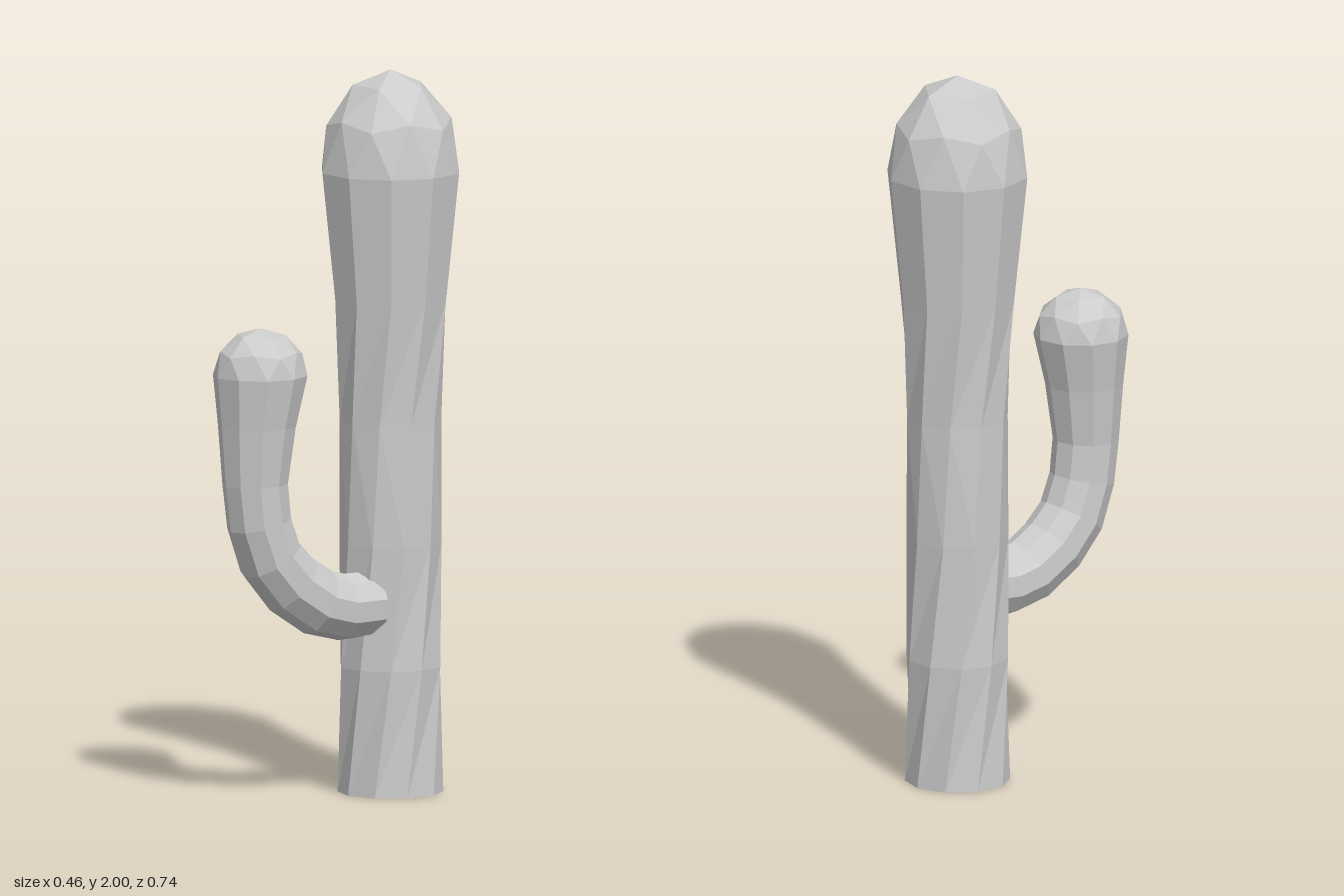
import * as THREE from 'three';

const SIDES = 10;
const rad = THREE.MathUtils.degToRad;
const material = new THREE.MeshStandardMaterial({
  color: 0xcccccc, flatShading: true, side: THREE.DoubleSide,
});

function meshFromTriangles(name, points) {
  const geometry = new THREE.BufferGeometry().setFromPoints(points);
  geometry.computeVertexNormals();
  const mesh = new THREE.Mesh(geometry, material);
  mesh.name = name;
  return mesh;
}

// Open faceted tube through a list of rings of points
function loft(name, rings) {
  const tris = [];
  for (let j = 0; j < rings.length - 1; j++) {
    for (let i = 0; i < SIDES; i++) {
      const n = (i + 1) % SIDES;
      const a = rings[j][i], b = rings[j][n], c = rings[j + 1][i], d = rings[j + 1][n];
      tris.push(a, c, b, b, c, d);
    }
  }
  return meshFromTriangles(name, tris);
}

// Upper half of a subdivided icosahedron: pole, ring of 5, ring of 10, rim of 10
function dome(name, centre, radius, height, turn) {
  const at = (polar, angle) => new THREE.Vector3(
    centre.x + radius * Math.sin(rad(polar)) * Math.cos(rad(angle + turn)),
    centre.y + height * Math.cos(rad(polar)),
    centre.z + radius * Math.sin(rad(polar)) * Math.sin(rad(angle + turn)));
  const pole = at(0, 0);
  const A = (k) => at(31.72, 72 * k);
  const B = (i) => at(i % 2 ? 58.28 : 63.43, 36 * i);
  const E = (i) => at(90, 18 + 36 * i);
  const tris = [];
  for (let i = 1; i <= SIDES; i++) {
    tris.push(E(i - 1), B(i), E(i), E(i), B(i), B(i + 1));
  }
  for (let k = 1; k <= 5; k++) {
    tris.push(B(2 * k - 1), A(k), B(2 * k), B(2 * k), A(k), B(2 * k + 1));
    tris.push(B(2 * k + 1), A(k), A(k + 1), A(k), pole, A(k + 1));
  }
  return meshFromTriangles(name, tris);
}

function createTrunk() {
  const cx = 0.04, cz = -0.174;
  // height, radius, twist in degrees
  const sections = [
    [0, 0.145, -18], [0.35, 0.143, 0], [0.69, 0.14, 15],
    [1.03, 0.14, -13], [1.37, 0.16, 0], [1.72, 0.197, 0],
  ];
  const rings = sections.map(([y, r, twist]) =>
    Array.from({ length: SIDES }, (_, i) => {
      const a = rad(90 - twist + 36 * i);
      return new THREE.Vector3(cx + r * Math.cos(a), y, cz + r * Math.sin(a));
    }));
  const trunk = new THREE.Group();
  trunk.name = 'trunk';
  trunk.add(loft('trunkStem', rings));
  trunk.add(dome('trunkCap', new THREE.Vector3(cx, 1.72, cz), 0.197, 0.28, 0));
  return trunk;
}

function createArm() {
  // z, height, radius, pitch of the path in degrees
  const sections = [
    [-0.09, 0.53, 0.09, 0], [0, 0.528, 0.093, 3], [0.07, 0.548, 0.094, 25],
    [0.15, 0.605, 0.094, 42], [0.21, 0.68, 0.092, 59], [0.243, 0.78, 0.09, 77],
    [0.255, 0.89, 0.091, 88], [0.25, 1.05, 0.108, 91], [0.24, 1.19, 0.131, 90],
  ];
  const across = new THREE.Vector3(0.92, 0, 0.39);
  const rings = sections.map(([z, y, r, pitch]) => {
    const s = Math.sin(rad(pitch));
    const up = new THREE.Vector3(0.39 * s, Math.cos(rad(pitch)), -0.92 * s);
    const centre = new THREE.Vector3(0.035 - 0.424 * (z + 0.09), y, z);
    return Array.from({ length: SIDES }, (_, i) => {
      const a = rad(14 - 36 * i);
      return centre.clone()
        .addScaledVector(across, r * Math.cos(a))
        .addScaledVector(up, r * Math.sin(a));
    });
  });
  const arm = new THREE.Group();
  arm.name = 'arm';
  arm.add(loft('armStem', rings));
  arm.add(dome('armCap', new THREE.Vector3(-0.105, 1.19, 0.24), 0.131, 0.13, 27));
  return arm;
}

export function createModel() {
  const model = new THREE.Group();
  model.name = 'cactus';
  model.add(createTrunk(), createArm());
  return model;
}
